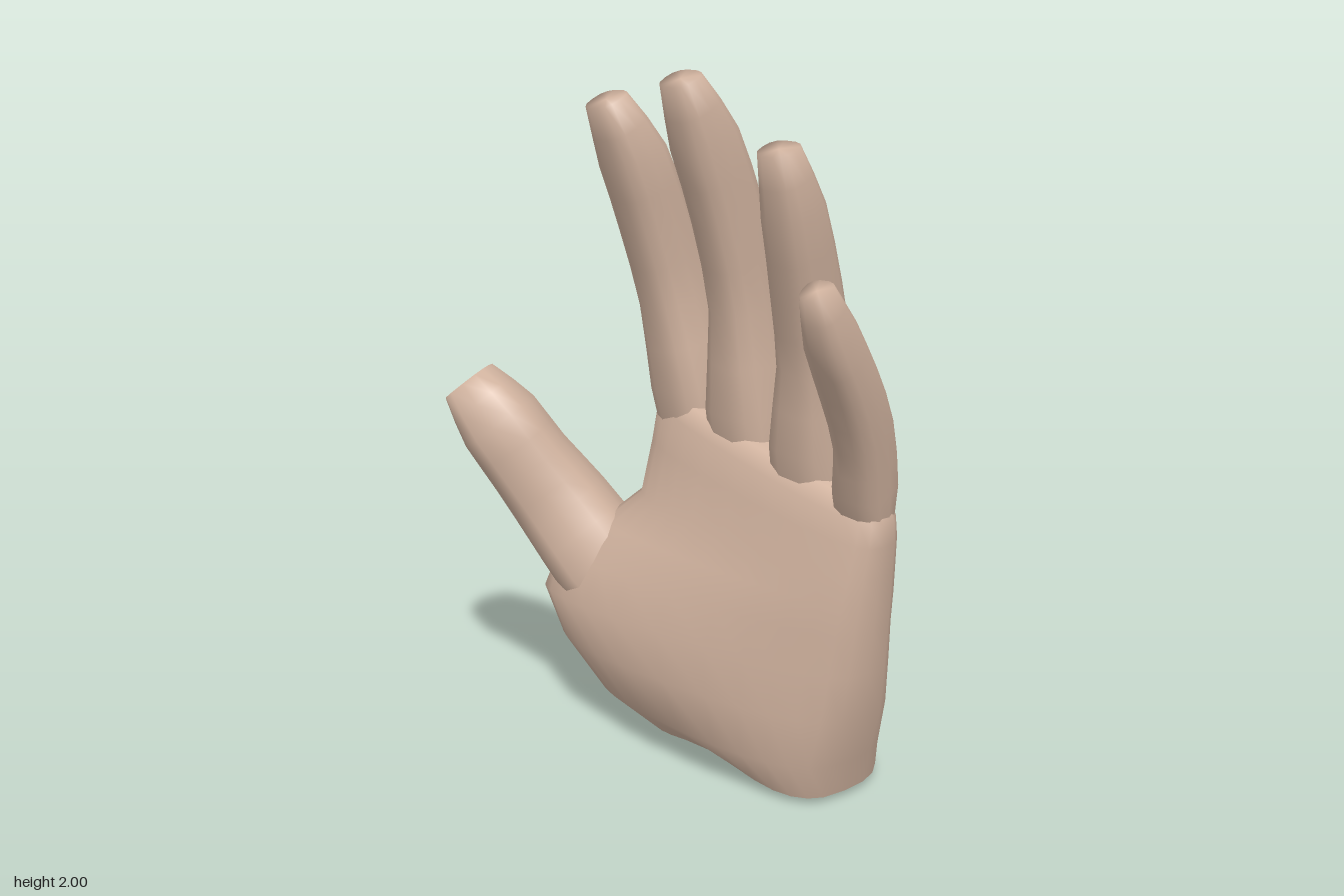
import * as THREE from 'three';

const SIDES = 14;
const skin = new THREE.MeshStandardMaterial({ color: 0xd2b4a0 });
const soft = (v, p) => Math.sign(v) * Math.abs(v) ** p;

// Skin a list of closed rings (arrays of Vector3): sharp flat base, softly shaded tip
function loft(name, rings) {
  const pos = [], index = [], n = rings[0].length, last = rings.length - 1;
  const add = (p) => pos.push(p.x, p.y, p.z) / 3 - 1;
  const middle = (ring) => ring.reduce((s, p) => s.add(p), new THREE.Vector3()).divideScalar(n);
  rings.forEach((ring) => ring.forEach(add));
  const tip = add(middle(rings[last]));
  const base = add(middle(rings[0]));
  rings[0].forEach(add);
  for (let j = 0; j < n; j++) {
    const k = (j + 1) % n;
    for (let a = 0; a < last * n; a += n) {
      index.push(a + j, a + k, a + n + j, a + k, a + n + k, a + n + j);
    }
    index.push(tip, last * n + j, last * n + k, base, base + 1 + k, base + 1 + j);
  }
  const geo = new THREE.BufferGeometry();
  geo.setAttribute('position', new THREE.Float32BufferAttribute(pos, 3));
  geo.setIndex(index);
  geo.computeVertexNormals();
  const mesh = new THREE.Mesh(geo, skin);
  mesh.name = name;
  return mesh;
}

// Finger: stations of [x, y, z, half width, half depth] smoothed along a curve
function finger(name, stations, across) {
  const path = new THREE.CatmullRomCurve3(stations.map((s) => new THREE.Vector3(s[0], s[1], s[2])));
  const size = new THREE.CatmullRomCurve3(stations.map((s) => new THREE.Vector3(s[3], s[4], 0)));
  const rings = [], steps = (stations.length - 1) * 2;
  for (let i = 0; i <= steps; i++) {
    const t = i / steps, c = path.getPoint(t), r = size.getPoint(t);
    const axis = path.getTangent(t);
    const side = across.clone().addScaledVector(axis, -across.dot(axis)).normalize();
    const depth = axis.clone().cross(side);
    rings.push(Array.from({ length: SIDES }, (_, j) => {
      const a = (j / SIDES) * Math.PI * 2;
      return c.clone()
        .addScaledVector(side, r.x * soft(Math.cos(a), 0.75))
        .addScaledVector(depth, r.y * soft(Math.sin(a), 0.75));
    }));
  }
  return loft(name, rings);
}

// Palm: [y, left x, right x, left edge z, right edge z, back z, front z left, front z right,
// tilt, taper of the back towards the thumb]
function palm() {
  const sections = [
    [0.00, -0.26, 0.50, -0.10, -0.14, -0.42, 0.04, 0.05, 0, 1],
    [0.13, -0.36, 0.535, 0.02, -0.13, -0.405, 0.18, 0.08, 0, 1.8],
    [0.28, -0.485, 0.585, 0.07, -0.12, -0.38, 0.26, 0.07, 0, 2.6],
    [0.42, -0.56, 0.61, 0.09, -0.11, -0.36, 0.28, 0.05, 0, 3],
    [0.54, -0.53, 0.625, 0.07, -0.11, -0.335, 0.22, 0.045, 0, 3],
    [0.64, -0.39, 0.635, 0.00, -0.11, -0.315, 0.14, 0.035, -0.02, 2],
    [0.73, -0.285, 0.64, -0.07, -0.11, -0.30, 0.07, 0.02, -0.06, 1.2],
    [0.86, -0.275, 0.65, -0.10, -0.11, -0.285, 0.03, 0.00, -0.14, 1],
    [0.95, -0.27, 0.65, -0.11, -0.11, -0.27, 0.00, -0.02, -0.2, 1],
    [1.00, -0.25, 0.63, -0.11, -0.11, -0.24, -0.03, -0.05, -0.2, 1],
  ];
  const n = 28;
  return loft('palm', sections.map(([y, x0, x1, z0, z1, back, f0, f1, tilt, taper], i) =>
    Array.from({ length: n }, (_, j) => {
      const a = (j / n) * Math.PI * 2, s = Math.sin(a);
      const t = (1 + soft(Math.cos(a), 0.8)) / 2;
      const edge = THREE.MathUtils.lerp(z0, z1, t), front = THREE.MathUtils.lerp(f0, f1, t);
      const x = THREE.MathUtils.lerp(x0, x1, t);
      const z = s > 0
        ? edge + (back - edge) * s ** (0.8 * (t < 0.5 ? taper : 1))
        : edge + (front - edge) * Math.abs(s) ** 0.65;
      // the wrist edge arches up in the middle
      const lift = i === 0 ? 0.02 * t + Math.sin(Math.PI * t) ** 2 * Math.abs(s) * (s > 0 ? 0.02 : 0.045) : 0;
      return new THREE.Vector3(x, y + lift + tilt * (x - 0.13), z);
    })));
}

export function createModel() {
  const hand = new THREE.Group();
  hand.name = 'hand';
  const across = new THREE.Vector3(1, 0, 0);
  hand.add(
    palm(),
    finger('indexFinger', [
      [-0.14, 0.88, -0.13, 0.10, 0.085], [-0.155, 1.09, -0.115, 0.115, 0.115],
      [-0.165, 1.35, -0.06, 0.09, 0.105], [-0.16, 1.58, 0.02, 0.09, 0.10],
      [-0.152, 1.76, 0.10, 0.092, 0.09], [-0.155, 1.915, 0.185, 0.066, 0.05],
    ], across),
    finger('middleFinger', [
      [0.09, 0.84, -0.145, 0.12, 0.09], [0.095, 1.06, -0.13, 0.122, 0.12],
      [0.12, 1.36, -0.085, 0.083, 0.105], [0.14, 1.62, 0.00, 0.08, 0.10],
      [0.152, 1.82, 0.09, 0.082, 0.09], [0.16, 1.975, 0.175, 0.062, 0.045],
    ], across),
    finger('ringFinger', [
      [0.35, 0.80, -0.14, 0.11, 0.08], [0.365, 1.01, -0.125, 0.115, 0.115],
      [0.405, 1.25, -0.08, 0.085, 0.10], [0.44, 1.45, -0.015, 0.078, 0.095],
      [0.48, 1.66, 0.07, 0.073, 0.08], [0.495, 1.815, 0.135, 0.055, 0.045],
    ], new THREE.Vector3(1, 0, -0.1)),
    finger('littleFinger', [
      [0.555, 0.80, -0.13, 0.07, 0.05], [0.577, 0.94, -0.11, 0.078, 0.09],
      [0.625, 1.10, -0.05, 0.067, 0.09], [0.665, 1.25, 0.045, 0.067, 0.08],
      [0.70, 1.39, 0.145, 0.06, 0.07], [0.72, 1.505, 0.21, 0.04, 0.04],
    ], new THREE.Vector3(1, 0, -0.25)),
    finger('thumb', [
      [-0.28, 0.36, 0.00, 0.12, 0.13], [-0.39, 0.51, 0.055, 0.155, 0.155],
      [-0.495, 0.67, 0.125, 0.148, 0.145], [-0.56, 0.81, 0.205, 0.138, 0.13],
      [-0.615, 0.94, 0.275, 0.136, 0.125], [-0.69, 1.06, 0.335, 0.095, 0.085],
    ], new THREE.Vector3(0.8, 0, 0.6)),
  );
  return hand;
}
